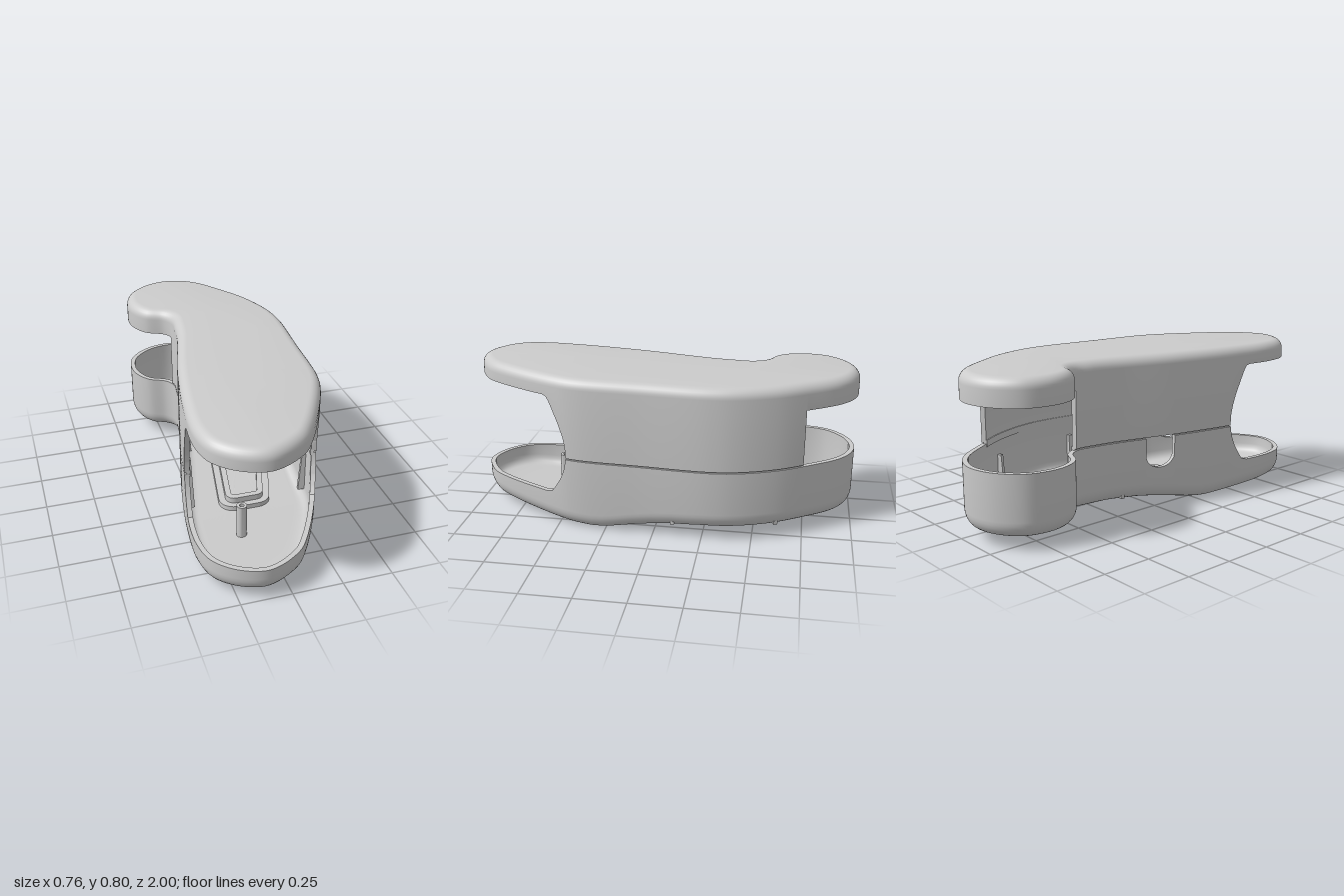
import * as THREE from 'three';
import { toCreasedNormals } from 'three/addons/utils/BufferGeometryUtils.js';

const V3 = THREE.Vector3;
const material = new THREE.MeshStandardMaterial({ color: 0xcccccc });
const WALL = 0.025;

// piecewise-linear lookup through [position, value] pairs
function lookup(table, t) {
  if (t <= table[0][0]) return table[0][1];
  for (let k = 1; k < table.length; k++) {
    const [a, va] = table[k - 1], [b, vb] = table[k];
    if (t <= b) return va + (vb - va) * (t - a) / (b - a);
  }
  return table[table.length - 1][1];
}

// underside height along z
const baseY = z => lookup([[-1, 0.065], [-0.25, 0.068], [-0.1, 0.061], [0, 0.05], [0.1, 0.034],
  [0.2, 0.015], [0.26, 0.006], [0.32, 0.003], [0.4, 0.007], [1, 0.045]], z);

// free edges of the two walls: front opening, rear opening and cable slot
const lowerCut = [[0.45, 0.373], [0.452, 0.35], [0.46, 0.315], [0.48, 0.265], [0.51, 0.215], [0.535, 0.182], [0.57, 0.173]];
const upperCut = [[0.447, 0.38], [0.45, 0.44], [0.46, 0.49], [0.48, 0.55], [0.51, 0.62], [0.535, 0.675], [0.55, 0.695], [0.57, 0.7]];
function lowerEdge(x, z) {
  const s = Math.abs(z - 0.015) / 0.08;
  if (x < -0.1 && s < 1) return 0.28 - 0.065 * Math.sqrt(1 - s * s);
  return lookup(lowerCut, z);
}
function upperEdge(x, z) {
  if (z < -0.74 || (x < -0.1 && z < -0.465)) return 0.667;
  return lookup(upperCut, z);
}

// plan outline, with extra samples where the edges step
function makeOutline() {
  const plan = [[-0.11, -1], [0, -0.975], [0.09, -0.91], [0.2, -0.76], [0.29, -0.61], [0.355, -0.43], [0.375, -0.28],
    [0.355, 0.06], [0.33, 0.39], [0.29, 0.52], [0.135, 0.82], [0.055, 0.92], [-0.11, 1], [-0.24, 0.965], [-0.345, 0.865],
    [-0.38, 0.73], [-0.367, 0.5], [-0.305, 0.13], [-0.215, -0.24], [-0.198, -0.36], [-0.193, -0.45], [-0.225, -0.508],
    [-0.315, -0.56], [-0.365, -0.64], [-0.38, -0.74], [-0.347, -0.865], [-0.24, -0.965]];
  const curve = new THREE.CatmullRomCurve3(plan.map(([x, z]) => new V3(x, 0, z)), true);
  const extras = [-0.7402, -0.7398, -0.4652, -0.4648, -0.0652, -0.0648, -0.062, 0.092, 0.0948, 0.0952,
    ...lowerCut.map(c => c[0]), ...upperCut.map(c => c[0])];
  const raw = curve.getSpacedPoints(320), pts = [];
  for (let k = 0; k < 320; k++) {
    const a = raw[k], b = raw[k + 1];
    pts.push(a);
    extras.filter(z => (z - a.z) * (z - b.z) < 0)
      .sort((p, q) => Math.abs(p - a.z) - Math.abs(q - a.z))
      .forEach(z => pts.push(a.clone().lerp(b, (z - a.z) / (b.z - a.z))));
  }
  const n = pts.length;
  return pts.map((p, k) => {
    const t = pts[(k + 1) % n].clone().sub(pts[(k + n - 1) % n]).normalize();
    return { x: p.x, z: p.z, nx: -t.z, nz: t.x, low: lowerEdge(p.x, p.z), high: upperEdge(p.x, p.z) };
  });
}
const outline = makeOutline();

// rounded four-sided recess: nearest point on its core, pushed out by r
const core = [[0.05, -0.44], [0.19, -0.18], [0.05, 0.28], [-0.06, 0.28]].map(c => new V3(c[0], 0, c[1]));
const coreCentre = new V3(0.06, 0, -0.02);
for (const p of outline) {
  const o = new V3(p.x, 0, p.z);
  let best = 9;
  core.forEach((c, k) => {
    const q = new THREE.Line3(c, core[(k + 1) % 4]).closestPointToPoint(o, true, new V3());
    if (q.distanceTo(o) < best) { best = q.distanceTo(o); p.near = q; }
  });
  p.dir = o.sub(p.near).normalize();
}

// row points: inset from the outline, around the recess, or blended between
const inset = (p, d, y) => new V3(p.x + p.nx * d, y, p.z + p.nz * d);
const around = (p, r, y = 0) => p.near.clone().addScaledVector(p.dir, r).setY(y);
const onBase = (v, lift) => v.setY(baseY(v.z) + lift);

// skin a list of rows, each a function from outline sample to point
function loft(name, rows) {
  const n = outline.length, pos = [], index = [];
  rows.forEach(row => outline.forEach(p => pos.push(...row(p).toArray())));
  for (let j = 0; j < rows.length - 1; j++) for (let i = 0; i < n; i++) {
    const a = j * n + i, b = j * n + (i + 1) % n;
    index.push(a, a + n, b + n, a, b + n, b);
  }
  const geo = new THREE.BufferGeometry();
  geo.setAttribute('position', new THREE.Float32BufferAttribute(pos, 3));
  geo.setIndex(index);
  geo.scale(20, 20, 20);
  const smooth = toCreasedNormals(geo, 0.5);
  smooth.scale(0.05, 0.05, 0.05);
  return named(name, smooth);
}
function named(name, geo) {
  const m = new THREE.Mesh(geo, material);
  m.name = name;
  return m;
}

function lowerShell() {
  const rows = [], ring = (r, lift) => rows.push(p => onBase(around(p, r), lift));
  const disc = (t, lift) => rows.push(p => onBase(around(p, 0).lerp(coreCentre, t), lift));
  // recess, its rim and the surrounding groove
  [1, 0.75, 0.5, 0.25, 0].forEach(t => disc(t, 0.04));
  ring(0.025, 0.04); ring(0.025, 0.006); ring(0.033, 0.006); ring(0.033, 0);
  ring(0.06, 0); ring(0.06, 0.005); ring(0.068, 0.005); ring(0.068, 0);
  // underside, rounded edge and outer wall
  for (let k = 1; k <= 10; k++) rows.push(p => onBase(around(p, 0.068).lerp(inset(p, 0.06, 0), k / 10), 0));
  for (let k = 1; k <= 7; k++) {
    const a = k / 7 * Math.PI / 2;
    rows.push(p => inset(p, 0.06 * (1 - Math.sin(a)), baseY(p.z) + 0.08 * (1 - Math.cos(a))));
  }
  rows.push(p => inset(p, 0, p.low), p => inset(p, WALL, p.low));
  // inner wall and floor
  for (let k = 0; k <= 4; k++) {
    const a = k / 4 * Math.PI / 2;
    rows.push(p => inset(p, WALL + 0.04 * (1 - Math.cos(a)), baseY(p.z) + 0.08 - 0.05 * Math.sin(a)));
  }
  for (let k = 1; k <= 10; k++) rows.push(p => onBase(inset(p, WALL + 0.04, 0).lerp(around(p, 0.08), k / 10), 0.03));
  // raised platform with a rim over the recess
  ring(0.08, 0.055); ring(0.045, 0.055); ring(0.045, 0.085); ring(0.015, 0.085); ring(0.015, 0.06);
  [0, 0.25, 0.5, 0.75, 1].forEach(t => disc(t, 0.06));
  return loft('lowerShell', rows);
}

function upperShell() {
  const rows = [
    () => coreCentre.clone().setY(0.77), p => around(p, 0, 0.77),
    p => inset(p, 0.05, 0.77), p => inset(p, 0.033, 0.762), p => inset(p, WALL, 0.745),
    p => inset(p, WALL, p.high), p => inset(p, 0, p.high)];
  for (let k = 0; k <= 7; k++) {
    const a = k / 7 * Math.PI / 2;
    rows.push(p => inset(p, 0.052 * (1 - Math.cos(a)), 0.748 + 0.052 * Math.sin(a)));
  }
  rows.push(p => around(p, 0, 0.8), () => coreCentre.clone().setY(0.8));
  return loft('upperShell', rows);
}

// lip bridging the seam wherever both walls meet
function seamLip() {
  const meets = p => p.low > 0.37 && p.high < 0.385;
  const row = (d, y) => p => meets(p) ? inset(p, d, y) : inset(p, 0.015, 0.365);
  return loft('seamLip', [row(0.01, 0.358), row(0.01, 0.392), row(0.03, 0.392), row(0.03, 0.358), row(0.01, 0.358)]);
}

// tapered stiffener standing on the inner wall; side is +1 or -1
function rib(name, side, z, y0, w0, y1, w1) {
  const p = outline.filter(o => Math.sign(o.x - lookup([[-1, -0.11], [-0.4, 0.05], [1, -0.1]], o.z)) === side)
    .reduce((a, b) => Math.abs(a.z - z) < Math.abs(b.z - z) ? a : b);
  const shape = new THREE.Shape([[-0.008, y0], [w0, y0], [w1, y1], [-0.008, y1]].map(c => new THREE.Vector2(...c)));
  const geo = new THREE.ExtrudeGeometry(shape, { depth: 0.02, bevelEnabled: false });
  geo.translate(0, 0, -0.01);
  const m = named(name, geo);
  m.position.copy(inset(p, WALL, 0));
  m.rotation.y = Math.atan2(-p.nz, p.nx);
  return m;
}

// hollow screw post
function post(name, x, z, y0, y1, r) {
  const profile = [[r, y0], [r, y1], [r * 0.45, y1], [r * 0.45, y0], [r, y0]].map(c => new THREE.Vector2(...c));
  const m = named(name, toCreasedNormals(new THREE.LatheGeometry(profile, 24), 0.6));
  m.material = new THREE.MeshStandardMaterial({ color: 0xcccccc, side: THREE.DoubleSide });
  m.position.set(x, 0, z);
  return m;
}

export function createModel() {
  const model = new THREE.Group();
  model.name = 'hollowHousing';
  model.add(lowerShell(), upperShell(), seamLip());

  // stiffeners hanging from the top and standing on the floor
  for (const [side, z] of [[-1, 0.24], [-1, 0.06], [-1, -0.2], [1, 0.3], [1, -0.05], [1, -0.4]])
    model.add(rib('upperRib', side, z, 0.51, 0.004, 0.772, 0.034));
  for (const [side, z, top] of [[-1, 0.3, 0.36], [-1, -0.18, 0.36], [1, 0.32, 0.285], [1, -0.1, 0.285], [1, -0.62, 0.285]])
    model.add(rib('lowerRib', side, z, 0.07, 0.035, top, 0.02));

  // screw posts and the rims of the screw holes underneath
  model.add(post('frontPost', -0.11, 0.57, 0.04, 0.225, 0.026));
  for (const z of [0.57, -0.78]) model.add(post('upperPost', -0.11, z, 0.72, 0.775, 0.026));
  for (const [x, z] of [[0.15, 0.46], [-0.25, 0.45], [-0.14, -0.78]]) {
    const rim = named('screwHoleRim', new THREE.TorusGeometry(0.018, 0.004, 8, 24).rotateX(Math.PI / 2));
    rim.position.set(x, baseY(z), z);
    model.add(rim);
  }
  return model;
}
